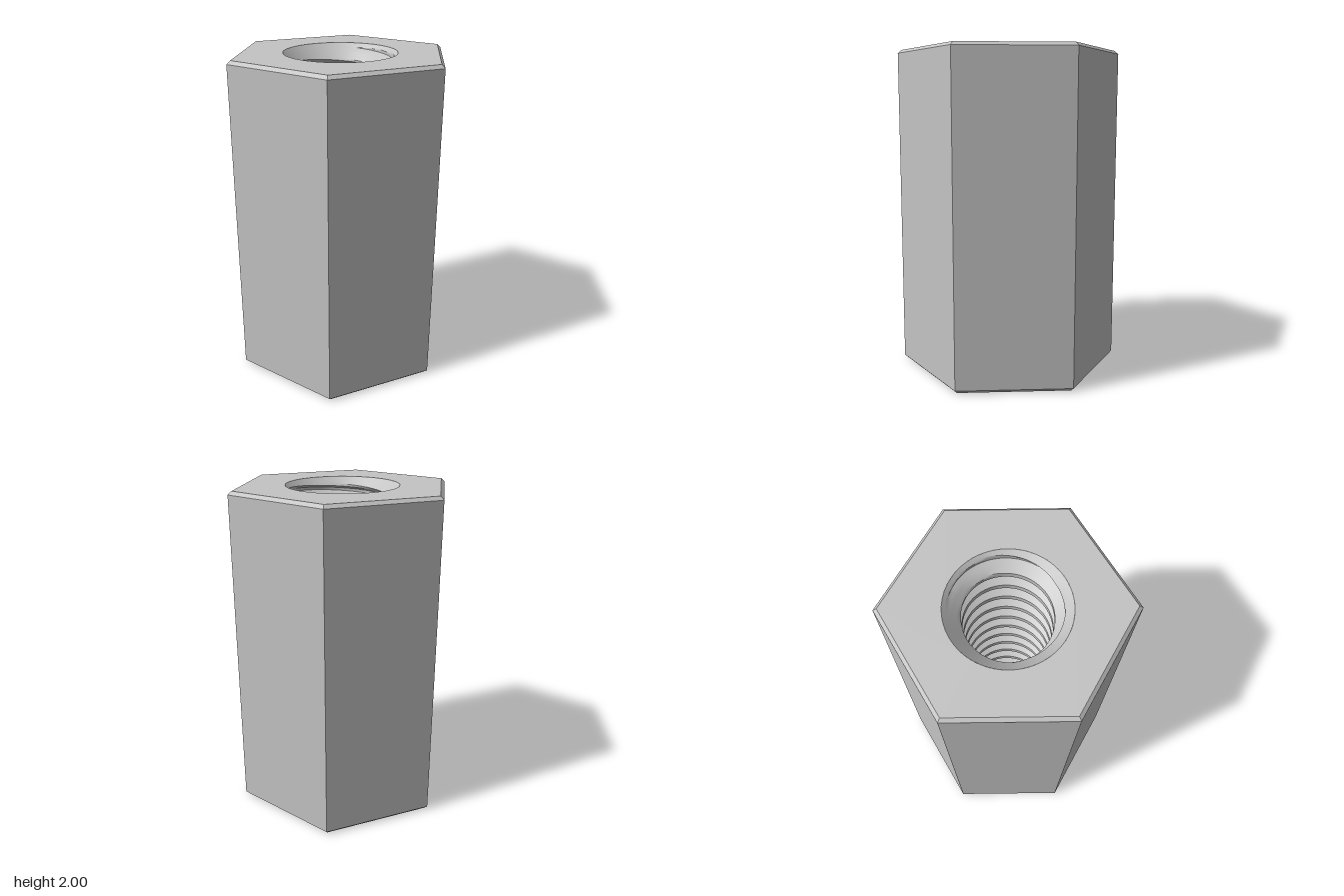
import * as THREE from 'three';
import { toCreasedNormals } from 'three/addons/utils/BufferGeometryUtils.js';

const HEIGHT = 2;
const HEX_R = 0.6 / Math.cos(Math.PI / 6); // corner radius, 0.6 to each flat
const CHAMFER = 0.02;
const RIM_R = 0.34; // countersink mouth
const MINOR_R = 0.247;
const MAJOR_R = 0.317;
const PITCH = 0.1333;
const SEGMENTS = 72;
const GROOVE_AT = 1.942; // height of one groove centre on the +x side

// One pitch of the thread: [height from groove centre, radius]
const root = PITCH / 16;
const flank = root + (MAJOR_R - MINOR_R) * Math.tan(Math.PI / 6);
const profile = [
  [-root, MAJOR_R], [root, MAJOR_R], [flank, MINOR_R],
  [PITCH - flank, MINOR_R], [PITCH - root, MAJOR_R],
];

// Threaded hole: the profile swept along a helix, opened into a 45 degree cone at each end
function boreGeometry() {
  const rows = [];
  const first = -Math.ceil(GROOVE_AT / PITCH) - 2;
  for (let turn = first; turn <= 2; turn++) {
    for (let k = 0; k < 4; k++) {
      for (let s = 0; s < 3; s++) {
        const t = s / 3;
        rows.push([
          GROOVE_AT + turn * PITCH + THREE.MathUtils.lerp(profile[k][0], profile[k + 1][0], t),
          THREE.MathUtils.lerp(profile[k][1], profile[k + 1][1], t),
        ]);
      }
    }
  }
  const positions = [];
  const index = [];
  const heights = [];
  const stride = SEGMENTS + 1;
  rows.forEach(([y0, threadR], j) => {
    for (let i = 0; i <= SEGMENTS; i++) {
      const a = (i / SEGMENTS) * Math.PI * 2;
      const y = THREE.MathUtils.clamp(y0 + (i / SEGMENTS) * PITCH, 0, HEIGHT);
      const r = y === 0 || y === HEIGHT
        ? RIM_R
        : Math.max(threadR, RIM_R - Math.min(y, HEIGHT - y));
      positions.push(r * Math.cos(a), y, -r * Math.sin(a));
      heights.push(y);
      if (j > 0 && i > 0) {
        const d = j * stride + i, c = d - 1, b = d - stride, e = b - 1;
        if (heights[e] !== heights[c]) index.push(e, c, b);
        if (heights[b] !== heights[d]) index.push(b, c, d);
      }
    }
  });
  const geometry = new THREE.BufferGeometry();
  geometry.setAttribute('position', new THREE.Float32BufferAttribute(positions, 3));
  geometry.setIndex(index);
  return toCreasedNormals(geometry, 0.4);
}

// Hexagonal end face with a round hole
function endFaceGeometry() {
  const shape = new THREE.Shape();
  const r = (0.6 - CHAMFER) / Math.cos(Math.PI / 6);
  for (let i = 0; i < 6; i++) {
    const a = (i * Math.PI) / 3;
    if (i === 0) shape.moveTo(r, 0);
    else shape.lineTo(r * Math.cos(a), r * Math.sin(a));
  }
  shape.closePath();
  const hole = new THREE.Path();
  hole.absarc(0, 0, RIM_R, 0, Math.PI * 2, true);
  shape.holes.push(hole);
  return new THREE.ShapeGeometry(shape, SEGMENTS);
}

export function createModel() {
  const group = new THREE.Group();
  group.name = 'hexStandoff';
  const steel = new THREE.MeshStandardMaterial({ color: 0xc4c4c4 });
  steel.name = 'steel grey';

  const add = (name, geometry) => {
    const mesh = new THREE.Mesh(geometry, steel);
    mesh.name = name;
    group.add(mesh);
    return mesh;
  };

  // Six sides with chamfered ends
  const inner = (0.6 - CHAMFER) / Math.cos(Math.PI / 6);
  const outline = [
    [inner, 0], [HEX_R, CHAMFER], [HEX_R, HEIGHT - CHAMFER], [inner, HEIGHT],
  ].map(([x, y]) => new THREE.Vector2(x, y));
  add('hexBody', toCreasedNormals(new THREE.LatheGeometry(outline, 6, Math.PI / 2), 0.4));

  // End faces
  const top = add('topFace', endFaceGeometry());
  top.rotation.x = -Math.PI / 2;
  top.position.y = HEIGHT;
  const bottom = add('bottomFace', endFaceGeometry());
  bottom.rotation.x = Math.PI / 2;

  // Countersunk threaded hole
  add('threadedBore', boreGeometry());
  return group;
}
